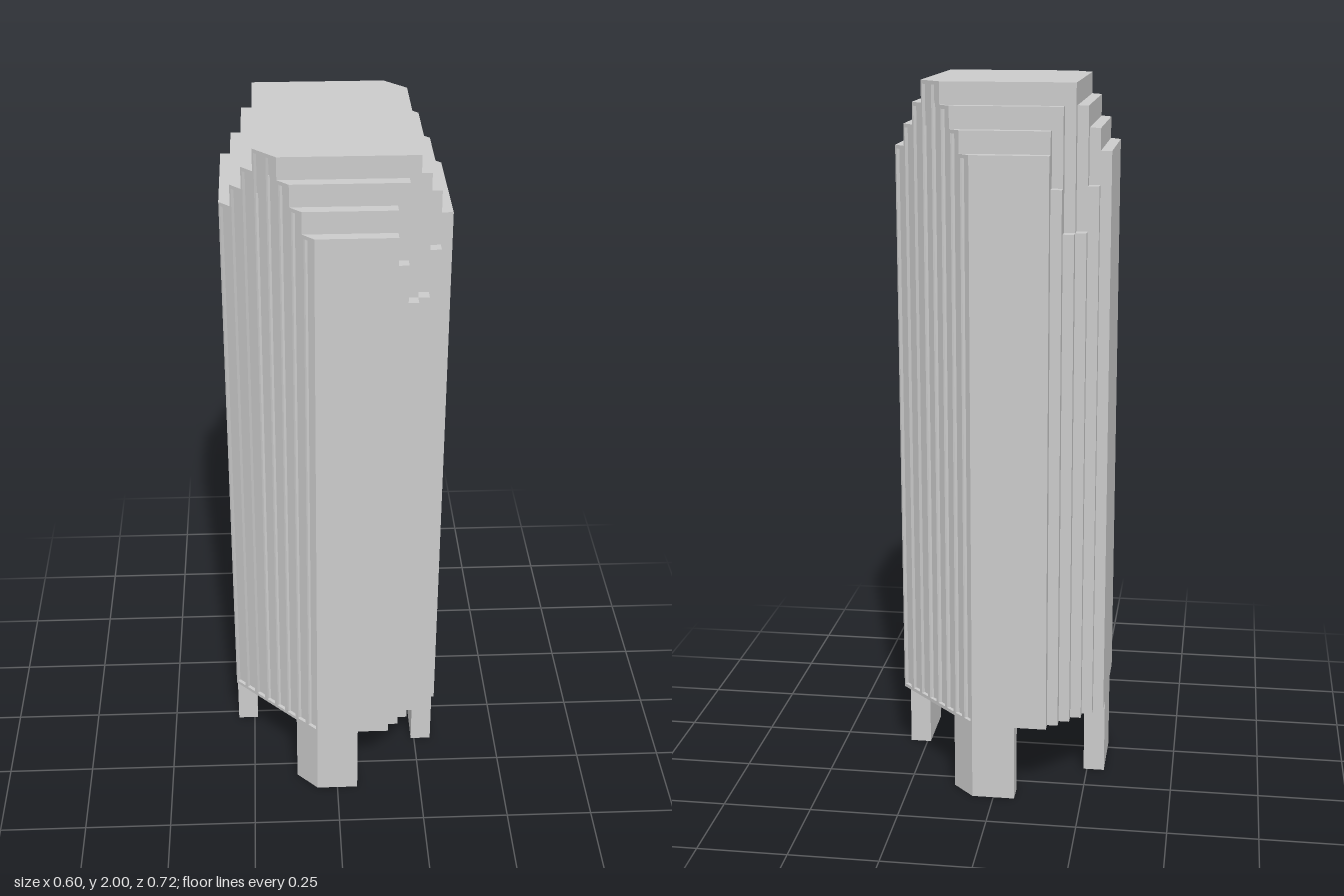
import * as THREE from 'three';

const CUT = 0.42;        // diagonal corner: x - z = CUT
const BASE = 0.22;       // underside of the tower
const LIP = 0.01;        // closed band above and below the recessed strips
const STRIP = 0.03, MARGIN = 0.004, DEPTH = 0.007;
const stripTops = [1.82, 1.88, 1.94, 2, 2, 1.94, 1.88, 1.82];
const material = new THREE.MeshStandardMaterial({ color: 0xcccccc, flatShading: true });

// Vertical prism from a plan of [x, -z] points, counter-clockwise
function prism(points, y0, y1, name) {
  const shape = new THREE.Shape(points.map(([x, y]) => new THREE.Vector2(x, y)));
  const geo = new THREE.ExtrudeGeometry(shape, { depth: y1 - y0, bevelEnabled: false });
  geo.rotateX(-Math.PI / 2);
  geo.translate(0, y0, 0);
  const mesh = new THREE.Mesh(geo, material);
  mesh.name = name;
  return mesh;
}

const turned = (points) => points.map(([x, y]) => [-x, -y]);

// Rectangle plan with two opposite corners cut; strips taller than y are recessed
function plan(a, b, y) {
  const half = [[a, CUT - a]];
  for (let i = stripTops.length - 1; i >= 0; i--) {
    const x0 = 0.06 + i * STRIP, x1 = x0 + STRIP;
    if (x0 < CUT - b - 1e-6 || x1 > a + 1e-6 || stripTops[i] <= y + 1e-6) continue;
    const p = x1 - MARGIN, q = x0 + MARGIN;
    half.push([p, CUT - p], [p - DEPTH, CUT - p - DEPTH],
      [q - DEPTH, CUT - q - DEPTH], [q, CUT - q]);
  }
  half.push([CUT - b, b], [-a, b]);
  return [...half, ...turned(half)];
}

export function createModel() {
  const model = new THREE.Group();
  model.name = 'steppedTower';

  // Nested tiers: half width, half depth, top height
  const tiers = [
    [0.21, 0.27, 2.0],
    [0.18, 0.30, 1.94], [0.24, 0.24, 1.94],
    [0.15, 0.33, 1.88], [0.27, 0.21, 1.88],
    [0.15, 0.36, 1.82], [0.30, 0.21, 1.82],
    [0.18, 0.33, 1.73], [0.27, 0.24, 1.73],
    [0.21, 0.30, 1.61], [0.24, 0.27, 1.61],
  ];
  const tower = new THREE.Group();
  tower.name = 'tower';
  for (const [a, b, top] of tiers) {
    tower.add(
      prism(plan(a, b, 9), BASE, BASE + LIP, 'tierFoot'),
      prism(plan(a, b, 0), BASE + LIP, top - LIP, 'tierBody'),
      prism(plan(a, b, top), top - LIP, top, 'tierCap'),
    );
  }
  model.add(tower);

  // Legs: each pair is the same plan turned half a circle
  const backLeg = [[-0.06, 0.30], [0.12, 0.30], [0.06, 0.36], [-0.06, 0.36]];
  const leftLeg = [[0.24, -0.15], [0.30, -0.15], [0.30, 0.03], [0.24, 0.03]];
  model.add(
    prism(backLeg, 0, BASE, 'backLeg'),
    prism(turned(backLeg), 0, BASE, 'frontLeg'),
    prism(leftLeg, 0, BASE, 'leftLeg'),
    prism(turned(leftLeg), 0, BASE, 'rightLeg'),
  );
  return model;
}
